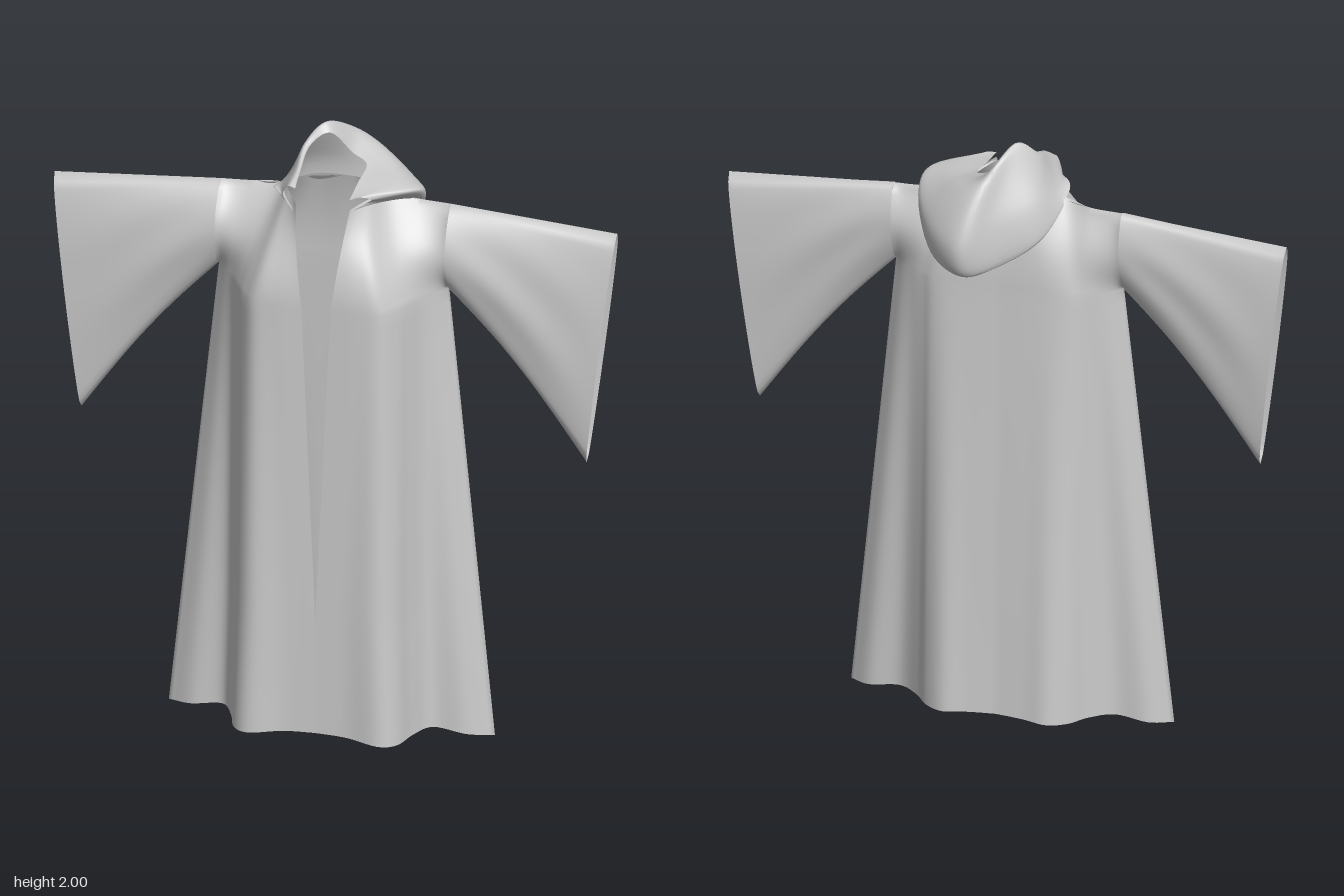
import * as THREE from 'three';
import { mergeGeometries, mergeVertices } from 'three/addons/utils/BufferGeometryUtils.js';

const { lerp } = THREE.MathUtils;
const material = new THREE.MeshStandardMaterial({ color: 0xcccccc, side: THREE.DoubleSide });
const spline = pts => new THREE.CatmullRomCurve3(pts.map(p => new THREE.Vector3(...p)), false, 'catmullrom', 0.5);

// Cloth panel: fn(u, v) gives [x, y, z]; mirrored over x when side is -1
function panel(fn, nu, nv, flip, side = 1) {
  const pos = [], idx = [];
  for (let j = 0; j <= nv; j++) for (let i = 0; i <= nu; i++) {
    const [x, y, z] = fn(i / nu, j / nv);
    pos.push(x * side, y, z);
  }
  const turned = flip !== (side < 0);
  for (let j = 0; j < nv; j++) for (let i = 0; i < nu; i++) {
    const a = j * (nu + 1) + i, b = a + 1, c = a + nu + 1, d = c + 1;
    if (turned) idx.push(a, d, b, a, c, d);
    else idx.push(a, b, d, a, d, c);
  }
  const g = new THREE.BufferGeometry();
  g.setAttribute('position', new THREE.Float32BufferAttribute(pos, 3));
  g.setIndex(idx);
  return g;
}

function sewn(name, panels) {
  const g = mergeVertices(mergeGeometries(panels), 1e-4);
  g.computeVertexNormals();
  const mesh = new THREE.Mesh(g, material);
  mesh.name = name;
  return mesh;
}

const ARMPIT = 1.51, SHOULDER_Z = -0.025;
const rounded = (t, power) => Math.pow(Math.max(0, Math.sin(Math.PI * t)), power);
// Depth of the armhole in front of and behind the seam, fading in towards the chest
const armDepth = (t, sign, u = 1) =>
  sign * (sign > 0 ? 0.075 : 0.052) * rounded(t, lerp(2, 0.6, u ** 6)) * u ** 3;

// Half cross-sections from the centre line to the side seam, as [x, 0, z]
const frontHem = spline([[0, 0, .253], [.1, 0, .258], [.2, 0, .28], [.255, 0, .245], [.285, 0, .16], [.33, 0, .085], [.43, 0, .075], [.51, 0, .03]]);
const frontChest = spline([[0, 0, .24], [.09, 0, .243], [.165, 0, .235], [.215, 0, .19], [.25, 0, .14], [.285, 0, .09], [.325, 0, .045], [.36, 0, 0]]);
const backHem = spline([[0, 0, -.17], [.09, 0, -.178], [.165, 0, -.187], [.225, 0, -.15], [.27, 0, -.09], [.34, 0, -.03], [.44, 0, -.02], [.51, 0, .03]]);
const backChest = spline([[0, 0, -.12], [.09, 0, -.122], [.165, 0, -.12], [.215, 0, -.11], [.25, 0, -.09], [.285, 0, -.07], [.325, 0, -.04], [.36, 0, 0]]);
// Neckline running on into the shoulder seam
const frontTop = spline([[.085, 1.82, .15], [.125, 1.82, .07], [.17, 1.805, -.01], [.26, 1.79, SHOULDER_Z], [.36, 1.785, SHOULDER_Z]]);
const backTop = spline([[0, 1.815, -.08], [.08, 1.81, -.075], [.17, 1.805, -.01], [.26, 1.79, SHOULDER_Z], [.36, 1.785, SHOULDER_Z]]);

// Skirt up to the armpit, then chest and shoulder; the front is slit open
function bodyPanel(hem, chest, top, sign) {
  const split = 0.68;
  const slitAt = y => sign > 0 ? Math.max(0, (y - 0.45) * 0.043) : 0;
  return (u, v) => {
    const a = hem.getPoint(u), b = chest.getPoint(u);
    if (v <= split) {
      const t = v / split;
      const y = lerp(0.06 - 0.06 * (a.x / 0.51) ** 2, ARMPIT, t);
      return [lerp(a.x, b.x, t) + slitAt(y) * (1 - u), y, lerp(a.z, b.z, t)];
    }
    const t = (v - split) / (1 - split), c = top.getPoint(u);
    const easeZ = lerp(t * t, t, u ** 6);
    return [
      lerp(b.x + slitAt(ARMPIT) * (1 - u), c.x, t),
      lerp(ARMPIT, c.y, t),
      lerp(b.z, c.z, easeZ) + armDepth(t, sign, u),
    ];
  };
}

// Wide hanging sleeve, open at the slanted cuff
function sleevePanel(sign) {
  return (s, v) => {
    const topY = lerp(1.785, 1.745, s);
    const lowY = lerp(ARMPIT, 0.96, s) + 0.03 * Math.sin(Math.PI * s);
    const x = lerp(0.36, lerp(0.79, 0.88, v), s);
    const cuff = sign * lerp(0.04, 0.052, v) * rounded(v, 0.35);
    const fold = 0.004 * Math.sin(v * 14 + s * 5) * Math.sin(Math.PI * s) * Math.sin(Math.PI * v);
    return [x, lerp(lowY, topY, v), lerp(0, SHOULDER_Z, v) + lerp(armDepth(v, sign), cuff, s) + fold];
  };
}

// Hood stations around the neck, each from neckline over the outside to the free rim
const hoodStations = [
  [[-.09, 1.80, .16], [-.125, 1.815, .12], [-.135, 1.83, .105], [-.115, 1.865, .125], [-.09, 1.865, .135]],
  [[-.15, 1.80, .01], [-.18, 1.81, .03], [-.155, 1.825, .03], [-.105, 1.895, .075], [-.085, 1.90, .09]],
  [[-.12, 1.80, -.06], [-.14, 1.72, -.12], [-.12, 1.83, -.11], [-.098, 1.94, -.02], [-.075, 1.945, 0]],
  [[0, 1.81, -.08], [-.03, 1.645, -.19], [-.01, 1.80, -.20], [-.035, 1.99, -.08], [-.02, 1.975, -.04]],
  [[.06, 1.81, -.08], [.08, 1.62, -.24], [.09, 1.74, -.285], [.05, 1.91, -.19], [.04, 1.90, -.07]],
  [[.12, 1.80, -.06], [.2, 1.645, -.155], [.22, 1.76, -.17], [.16, 1.865, -.12], [.09, 1.875, -.05]],
  [[.15, 1.80, 0], [.245, 1.78, -.04], [.268, 1.83, -.01], [.20, 1.855, .02], [.085, 1.86, .04]],
  [[.085, 1.81, .15], [.12, 1.82, .10], [.14, 1.835, .1], [.11, 1.85, .12], [.08, 1.845, .135]],
].map(spline);

function hoodPanel(u, v) {
  return spline(hoodStations.map(s => s.getPoint(v).toArray())).getPoint(u).toArray();
}

export function createModel() {
  const model = new THREE.Group();
  model.name = 'hoodedRobe';

  const front = bodyPanel(frontHem, frontChest, frontTop, 1);
  const back = bodyPanel(backHem, backChest, backTop, -1);
  model.add(sewn('robeBody', [1, -1].flatMap(side => [
    panel(front, 42, 50, false, side),
    panel(back, 42, 50, true, side),
  ])));

  for (const side of [1, -1]) {
    model.add(sewn(side > 0 ? 'leftSleeve' : 'rightSleeve', [
      panel(sleevePanel(1), 24, 32, false, side),
      panel(sleevePanel(-1), 24, 32, true, side),
    ]));
  }

  model.add(sewn('hood', [panel(hoodPanel, 56, 28, true)]));
  return model;
}
